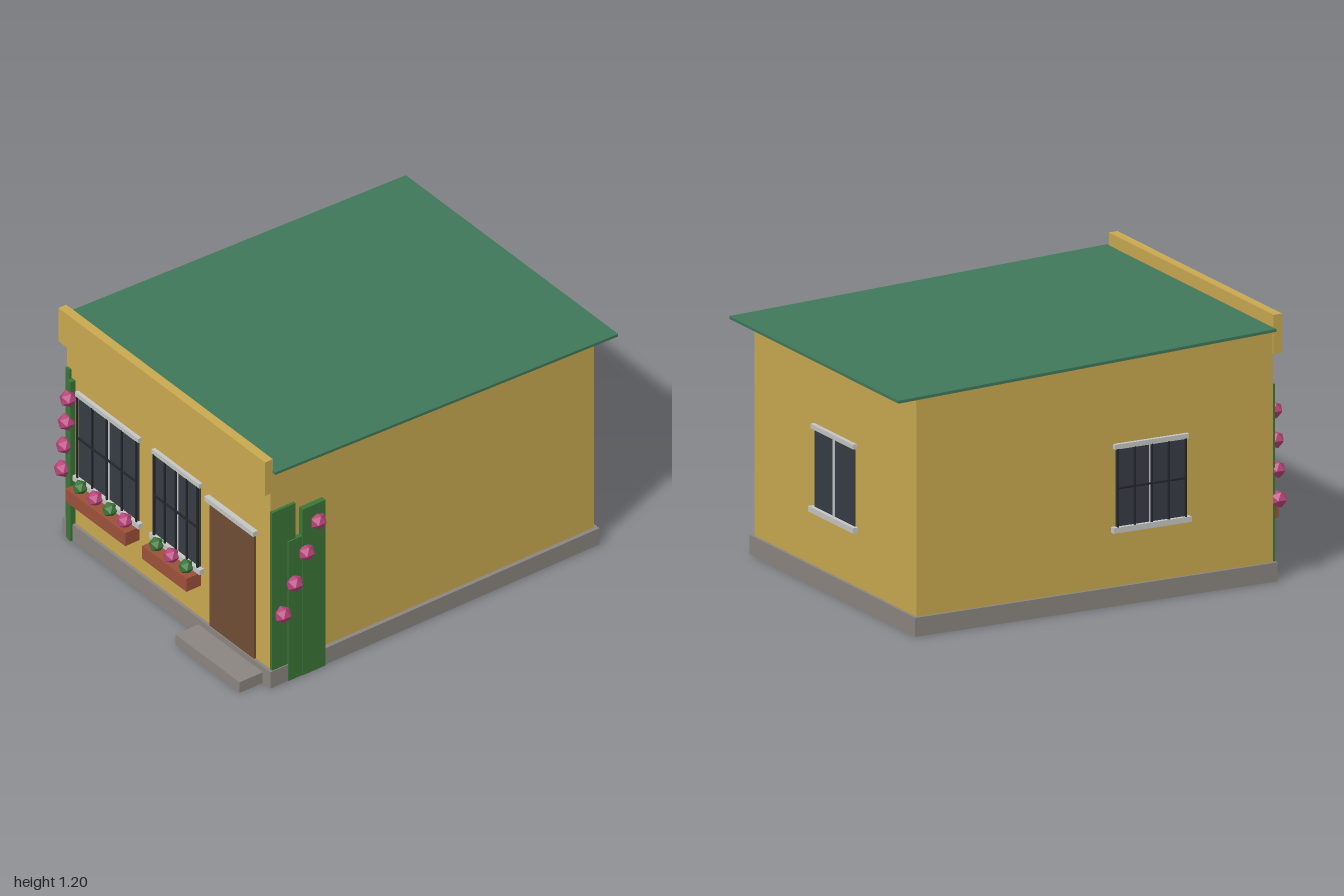
import * as THREE from 'three';

const mat = (name, color) => {
  const m = new THREE.MeshStandardMaterial({ color });
  m.name = name;
  return m;
};

export function createModel() {
  const root = new THREE.Group();
  root.name = 'house';
  const M = {
    wall: mat('ochre plaster', 0xc9a950),
    roof: mat('green roof', 0x40785a),
    stone: mat('grey stone', 0x8b8680),
    glass: mat('dark glass', 0x373d45),
    trim: mat('pale trim', 0xc6c6c4),
    bar: mat('iron bars', 0x23262b),
    door: mat('brown door', 0x704d35),
    planter: mat('terracotta', 0x9c513a),
    leaf: mat('leaf green', 0x3b7638),
    flower: mat('pink blossom', 0xb9457c),
  };

  // Box given by its minimum and maximum along each axis
  const box = (name, material, x0, x1, y0, y1, z0, z1, parent = root) => {
    const mesh = new THREE.Mesh(new THREE.BoxGeometry(x1 - x0, y1 - y0, z1 - z0), material);
    mesh.position.set((x0 + x1) / 2, (y0 + y1) / 2, (z0 + z1) / 2);
    mesh.name = name;
    parent.add(mesh);
    return mesh;
  };
  const blob = (name, material, x, y, z, r = 0.04) => {
    const mesh = new THREE.Mesh(new THREE.IcosahedronGeometry(r, 0), material);
    mesh.position.set(x, y, z);
    mesh.name = name;
    root.add(mesh);
  };
  // Side profile of [z, y] points extruded along x
  const profile = (name, material, points, x0, x1) => {
    const shape = new THREE.Shape(points.map(([z, y]) => new THREE.Vector2(-z, y)));
    const geo = new THREE.ExtrudeGeometry(shape, { depth: x1 - x0, bevelEnabled: false });
    geo.rotateY(Math.PI / 2).translate(x0, 0, 0);
    const mesh = new THREE.Mesh(geo, material);
    mesh.name = name;
    root.add(mesh);
  };

  // Walls, sloping roof, parapet, plinth and doorstep
  profile('walls', M.wall, [[0.86, 0.02], [-0.895, 0.02], [-0.895, 1.066], [0.86, 1.124]], -0.74, 0.70);
  profile('roof', M.roof, [[0.86, 1.124], [-1, 1.062], [-1, 1.075], [0.86, 1.137]], -0.77, 0.735);
  box('parapet', M.wall, -0.75, 0.715, 1.02, 1.195, 0.858, 0.9);
  box('plinth', M.stone, -0.755, 0.72, 0, 0.085, -0.91, 0.875);
  box('doorstep', M.stone, 0.21, 0.665, 0, 0.055, 0.86, 1);

  // Door
  box('door', M.door, 0.28, 0.597, 0.085, 0.738, 0.855, 0.87);
  box('doorLintel', M.trim, 0.265, 0.61, 0.738, 0.762, 0.855, 0.885);

  // Window facing +z, with its wall plane at z = 0
  const makeWindow = (name, w, y0, y1, barred) => {
    const g = new THREE.Group();
    g.name = name;
    const h = w / 2;
    box('pane', M.glass, -h, h, y0, y1, -0.005, 0.006, g);
    box('mullion', M.trim, -0.008, 0.008, y0, y1, 0, 0.01, g);
    box('lintel', M.trim, -h - 0.012, h + 0.012, y1 - 0.002, y1 + 0.02, -0.005, 0.018, g);
    box('sill', M.trim, -h - 0.022, h + 0.022, y0 - 0.022, y0 + 0.003, -0.005, 0.024, g);
    if (barred) {
      for (let i = 0; i <= 4; i++) {
        const x = -h + 0.003 + ((w - 0.006) * i) / 4;
        box('verticalBar', M.bar, x - 0.004, x + 0.004, y0, y1, 0.012, 0.02, g);
      }
      const mid = (y0 + y1) / 2;
      box('crossBar', M.bar, -h, h, mid - 0.004, mid + 0.004, 0.012, 0.02, g);
    }
    root.add(g);
    return g;
  };

  // Front windows with planters below
  const fronts = [
    { x: -0.438, w: 0.424, plants: 4 },
    { x: 0.05, w: 0.314, plants: 3 },
  ];
  for (const { x, w, plants } of fronts) {
    makeWindow('frontWindow', w, 0.348, 0.774, true).position.set(x, 0, 0.86);
    box('planter', M.planter, x - w / 2, x + w / 2, 0.25, 0.318, 0.86, 0.938);
    for (let i = 0; i < plants; i++) {
      const px = x + (i - (plants - 1) / 2) * 0.105;
      const leafy = i % 2 === 0;
      blob(leafy ? 'bush' : 'blossom', leafy ? M.leaf : M.flower, px, 0.338, 0.9, leafy ? 0.035 : 0.038);
    }
  }

  // Side and back windows
  const side = makeWindow('sideWindow', 0.34, 0.35, 0.704, true);
  side.position.set(-0.74, 0, 0.255);
  side.rotation.y = -Math.PI / 2;
  const back = makeWindow('backWindow', 0.355, 0.35, 0.704, false);
  back.position.set(-0.02, 0, -0.895);
  back.rotation.y = Math.PI;

  // Climbing plant on the front corner
  box('frontVine', M.leaf, -0.735, -0.708, 0, 0.88, 0.858, 0.872);
  box('frontVine', M.leaf, -0.721, -0.69, 0, 0.72, 0.858, 0.88);
  box('frontVine', M.leaf, -0.705, -0.682, 0, 0.835, 0.858, 0.886);
  // Climbing plant on the side wall
  box('sideVine', M.leaf, 0.698, 0.715, 0, 0.912, 0.735, 0.862);
  box('sideVine', M.leaf, 0.698, 0.7225, 0, 0.73, 0.65, 0.78);
  box('sideVine', M.leaf, 0.698, 0.726, 0, 0.87, 0.58, 0.705);

  // Blossoms on both climbers
  for (let i = 0; i < 4; i++) {
    blob('blossom', M.flower, -0.69 - 0.0135 * i, 0.75 - 0.13 * i, 0.893);
    blob('blossom', M.flower, 0.733, 0.783 - 0.137 * i, 0.627 + 0.0635 * i);
  }
  return root;
}
